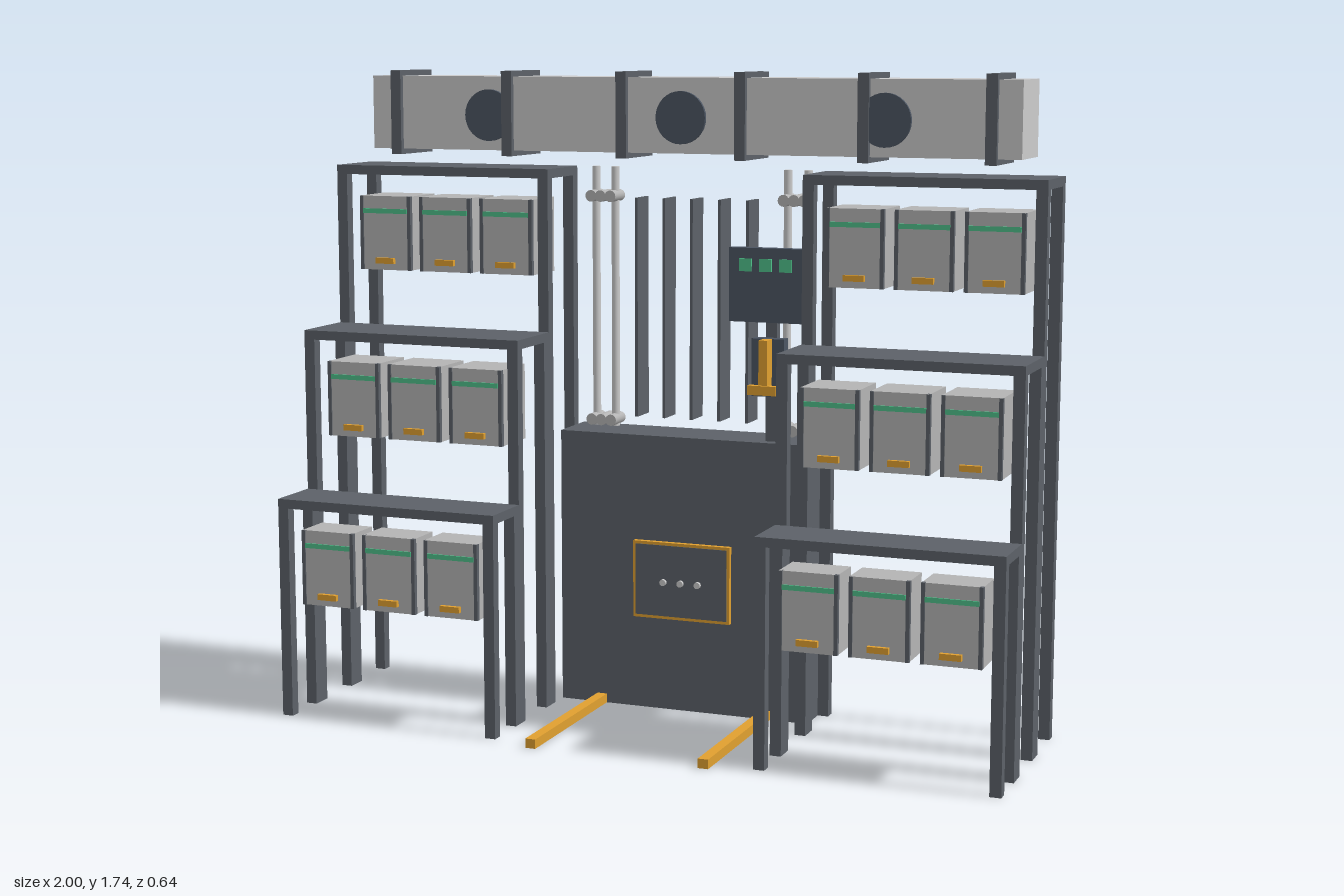
import * as THREE from 'three';

const mat = (color) => new THREE.MeshStandardMaterial({ color });
const grey = mat(0xcccccc);
const casing = mat(0xb4b4b4);
const steel = mat(0x5c6168);
const slate = mat(0x4c5562);
const amber = mat(0xe0a030);
const green = mat(0x4fc08a);

// Box given by its limits on each axis
function block(parent, name, material, [x0, x1], [y0, y1], [z0, z1]) {
  const mesh = new THREE.Mesh(new THREE.BoxGeometry(x1 - x0, y1 - y0, z1 - z0), material);
  mesh.position.set((x0 + x1) / 2, (y0 + y1) / 2, (z0 + z1) / 2);
  mesh.name = name;
  parent.add(mesh);
  return mesh;
}

// Round part along y, or along z when lying
function rod(parent, name, material, radius, length, x, y, z, lying = false, sides = 16) {
  const geo = new THREE.CylinderGeometry(radius, radius, length, sides);
  if (lying) geo.rotateX(Math.PI / 2);
  const mesh = new THREE.Mesh(geo, material);
  mesh.position.set(x, y, z);
  mesh.name = name;
  parent.add(mesh);
  return mesh;
}

// Hanging unit with side rails, light strip and handle
function hangingUnit(parent, x, bottom, back, front) {
  const unit = new THREE.Group();
  unit.name = 'hangingUnit';
  const h = 0.205;
  block(unit, 'unitCase', casing, [x - 0.077, x + 0.077], [bottom, bottom + h], [back, front]);
  for (const s of [-1, 1]) {
    const rx = x + s * 0.073;
    block(unit, 'unitRail', steel, [rx - 0.005, rx + 0.005], [bottom, bottom + h], [front - 0.01, front + 0.003]);
  }
  block(unit, 'unitLight', green, [x - 0.068, x + 0.068], [bottom + 0.157, bottom + 0.17], [front, front + 0.004]);
  block(unit, 'unitHandle', amber, [x - 0.028, x + 0.028], [bottom + 0.018, bottom + 0.034], [front, front + 0.012]);
  parent.add(unit);
}

// One stepped tier: top slab, four posts, three hanging units
function rackTier(side, top, back, front) {
  const tier = new THREE.Group();
  tier.name = 'rackTier';
  const span = (a, b) => (side > 0 ? [a, b] : [-b, -a]);
  const post = 0.03, slab = 0.025;
  block(tier, 'rackTop', steel, span(0.36, 1), [top - slab, top], [back, front]);
  for (const x of [0.36, 1 - post])
    for (const z of [back, front - post])
      block(tier, 'rackPost', steel, span(x, x + post), [0, top - slab], [z, z + post]);
  for (const x of [0.495, 0.679, 0.863])
    hangingUnit(tier, side * x, top - 0.29, back + 0.03, front - 0.022);
  return tier;
}

export function createModel() {
  const model = new THREE.Group();
  model.name = 'equipmentStation';

  // Stepped racks on both sides
  for (const side of [-1, 1]) {
    const rack = new THREE.Group();
    rack.name = side > 0 ? 'leftRack' : 'rightRack';
    rack.add(rackTier(side, 0.6, 0.12, 0.28));
    rack.add(rackTier(side, 1.04, -0.08, 0.12));
    rack.add(rackTier(side, 1.48, -0.28, -0.08));
    model.add(rack);
  }

  // Overhead duct with collars and round vents
  const duct = new THREE.Group();
  duct.name = 'overheadDuct';
  block(duct, 'ductBody', grey, [-0.917, 0.917], [1.525, 1.725], [-0.32, -0.145]);
  for (let i = 0; i < 6; i++) {
    const x = -0.84 + i * 0.336;
    block(duct, 'ductCollar', steel, [x - 0.015, x + 0.015], [1.51, 1.74], [-0.3195, -0.13]);
  }
  for (const x of [-0.56, 0, 0.56]) rod(duct, 'ductVent', slate, 0.07, 0.02, x, 1.62, -0.145, true, 32);
  model.add(duct);

  // Central cabinet with framed front panel
  const cabinet = new THREE.Group();
  cabinet.name = 'cabinet';
  block(cabinet, 'cabinetBody', steel, [-0.36, 0.36], [0, 0.76], [-0.32, -0.16]);
  block(cabinet, 'panelFrame', amber, [-0.14, 0.14], [0.257, 0.47], [-0.16, -0.145]);
  block(cabinet, 'panelFace', steel, [-0.132, 0.132], [0.265, 0.462], [-0.155, -0.143]);
  for (const x of [-0.05, 0, 0.05]) rod(cabinet, 'panelKnob', grey, 0.009, 0.012, x, 0.36, -0.14, true);
  model.add(cabinet);

  // Floor guide rails
  for (const x of [-0.24, 0.24])
    block(model, 'floorRail', amber, [x - 0.014, x + 0.014], [0, 0.025], [-0.16, 0.32]);

  // Upright fins above the cabinet
  for (let i = -2; i <= 2; i++)
    block(model, 'fin', steel, [i * 0.08 - 0.004, i * 0.08 + 0.004], [0.8, 1.4], [-0.3, -0.22]);

  // Paired pipes with clamps
  for (const side of [-1, 1]) {
    const pipes = new THREE.Group();
    pipes.name = 'pipePair';
    for (const x of [0.25, 0.307]) rod(pipes, 'pipe', grey, 0.011, 0.74, side * x, 1.11, -0.29);
    for (const y of [0.78, 1.4])
      for (const x of [0.25, 0.279, 0.307])
        rod(pipes, 'pipeClamp', casing, 0.016, 0.07, side * x, y, -0.285, true);
    for (const x of [0.25, 0.307]) rod(pipes, 'rearPort', casing, 0.02, 0.01, side * x, 0.15, -0.316, true);
    model.add(pipes);
  }

  // Control post with display and lever
  const control = new THREE.Group();
  control.name = 'controlPost';
  block(control, 'controlStalk', steel, [0.225, 0.255], [0.76, 1.2], [-0.215, -0.19]);
  block(control, 'controlPanel', slate, [0.13, 0.35], [1.083, 1.28], [-0.19, -0.16]);
  for (const x of [0.177, 0.233, 0.289])
    block(control, 'indicator', green, [x - 0.017, x + 0.017], [1.218, 1.252], [-0.16, -0.155]);
  block(control, 'leverHousing', slate, [0.195, 0.285], [0.885, 1.04], [-0.195, -0.16]);
  block(control, 'leverArm', amber, [0.228, 0.252], [0.9, 1.04], [-0.16, -0.12]);
  block(control, 'leverGrip', amber, [0.2, 0.28], [0.895, 0.92], [-0.13, -0.11]);
  model.add(control);

  return model;
}
